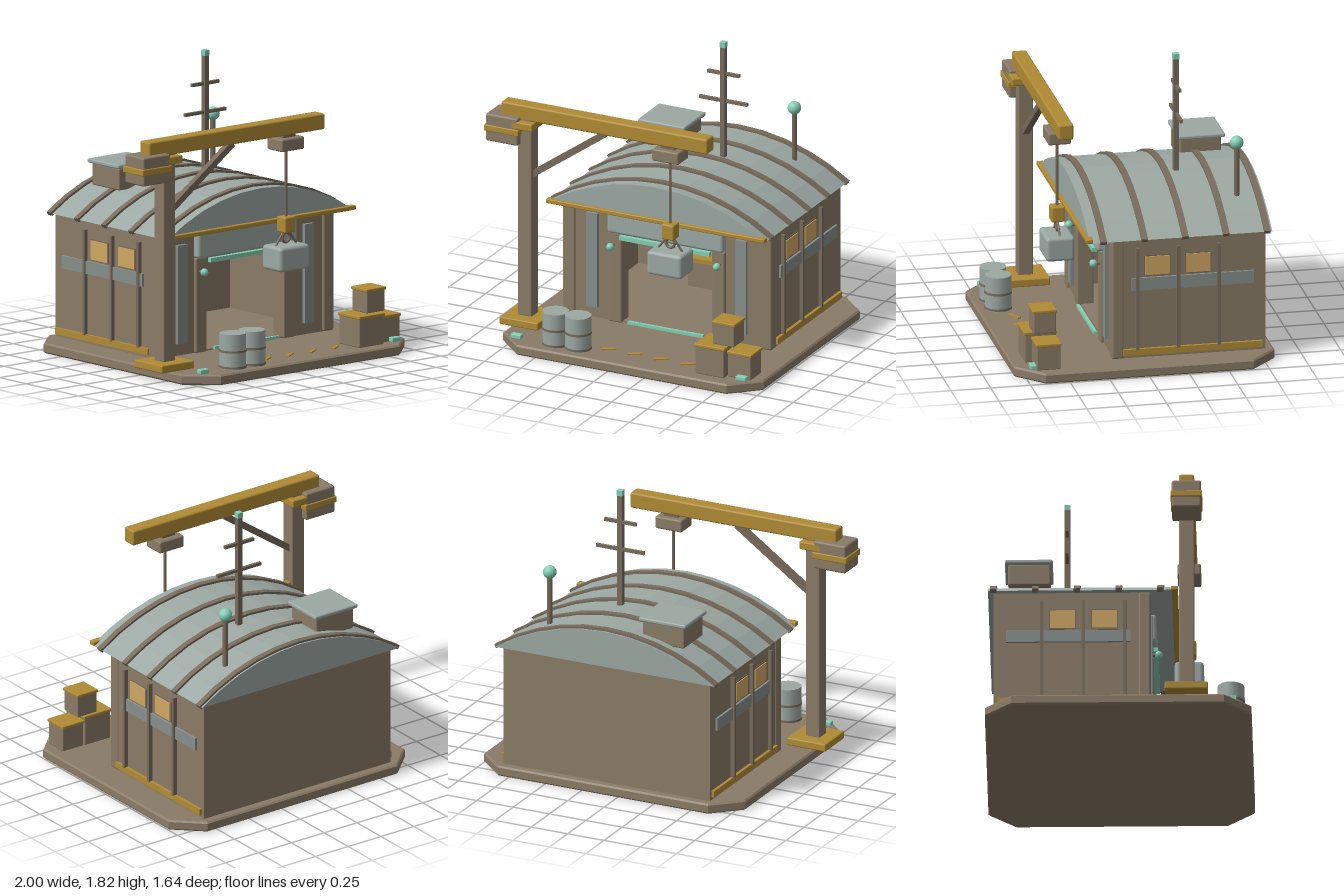
import * as THREE from 'three';
import { RoundedBoxGeometry } from 'three/addons/geometries/RoundedBoxGeometry.js';

export function createModel() {
  const root = new THREE.Group();
  const mat = (name, color) => {
    const m = new THREE.MeshStandardMaterial({ color });
    m.name = name;
    return m;
  };
  const brown = mat('warm brown', 0x8a7b67);
  const dark = mat('dark brown', 0x786b5c);
  const pale = mat('pale grey green', 0x9ca8a3);
  const steel = mat('steel grey', 0x868f8b);
  const gold = mat('ochre gold', 0xb08b34);
  const mint = mat('mint light', 0x84cfb5);
  const amber = mat('amber glass', 0xcfa662);

  const add = (name, geo, m, x = 0, y = 0, z = 0, parent = root) => {
    const mesh = new THREE.Mesh(geo, m);
    mesh.name = name;
    mesh.position.set(x, y, z);
    parent.add(mesh);
    return mesh;
  };
  // Box given by its limits; r > 0 softens the edges
  const box = (name, m, x0, x1, y0, y1, z0, z1, r = 0, parent = root) => {
    const s = [x1 - x0, y1 - y0, z1 - z0];
    const geo = r ? new RoundedBoxGeometry(...s, 2, r) : new THREE.BoxGeometry(...s);
    return add(name, geo, m, (x0 + x1) / 2, (y0 + y1) / 2, (z0 + z1) / 2, parent);
  };
  const rod = (name, m, a, b, r, sides = 8, parent = root) => {
    const p = new THREE.Vector3(...a), q = new THREE.Vector3(...b);
    const mesh = add(name, new THREE.CylinderGeometry(r, r, p.distanceTo(q), sides), m, 0, 0, 0, parent);
    mesh.position.copy(p).lerp(q, 0.5);
    mesh.quaternion.setFromUnitVectors(new THREE.Vector3(0, 1, 0), q.sub(p).normalize());
    return mesh;
  };
  const group = (name) => {
    const g = new THREE.Group();
    g.name = name;
    root.add(g);
    return g;
  };
  const CX = 0.1; // centre line of the building

  // Ground slab with cut corners
  const slab = new THREE.Shape([[-0.79, -0.65], [-0.62, -0.81], [0.82, -0.81], [0.99, -0.65],
    [0.99, 0.65], [0.82, 0.81], [-0.62, 0.81], [-0.79, 0.65]].map(p => new THREE.Vector2(...p)));
  const slabGeo = new THREE.ExtrudeGeometry(slab, { depth: 0.045, bevelEnabled: true, bevelSize: 0.01, bevelThickness: 0.01, bevelSegments: 1 });
  slabGeo.rotateX(-Math.PI / 2).translate(0, 0.01, 0);
  add('groundSlab', slabGeo, brown);

  // Hollow building shell, open at the door
  const hall = group('hall');
  box('backWall', brown, -0.61, 0.81, 0.065, 0.84, -0.765, -0.715, 0, hall);
  box('ceiling', brown, -0.58, 0.78, 0.81, 0.84, -0.73, 0.16, 0, hall);
  box('overDoorWall', brown, -0.25, 0.45, 0.65, 0.84, 0.12, 0.18, 0, hall);
  box('floor', brown, -0.58, 0.78, 0.065, 0.073, -0.73, 0.18, 0, hall);
  box('doorHeader', pale, -0.3, 0.5, 0.658, 0.84, 0.15, 0.23, 0.02, hall);
  box('headerLight', mint, -0.21, 0.41, 0.628, 0.655, 0.21, 0.24, 0, hall);
  box('thresholdLight', mint, -0.16, 0.36, 0.073, 0.092, 0.2, 0.22, 0, hall);
  for (const s of [-1, 1]) {
    const px = (a, b) => [Math.min(CX + s * a, CX + s * b), Math.max(CX + s * a, CX + s * b)];
    box('sideWall', brown, ...px(0.66, 0.71), 0.065, 0.84, -0.765, 0.18, 0, hall);
    box('frontPanel', brown, ...px(0.36, 0.66), 0.065, 0.84, 0.12, 0.185, 0, hall);
    box('cornerPillar', brown, ...px(0.635, 0.72), 0.065, 0.84, 0.125, 0.2, 0.012, hall);
    box('doorPost', brown, ...px(0.31, 0.4), 0.065, 0.66, 0.1, 0.205, 0.01, hall);
    box('frontStrip', steel, ...px(0.475, 0.55), 0.14, 0.76, 0.18, 0.21, 0, hall);
    add('doorLamp', new THREE.SphereGeometry(0.025, 12, 8), mint, CX + s * 0.367, 0.575, 0.245, hall);
    rod('lampBracket', dark, [CX + s * 0.367, 0.575, 0.2], [CX + s * 0.367, 0.575, 0.24], 0.01, 8, hall);
    // Flank fittings
    box('flankBand', steel, ...px(0.7, 0.725), 0.505, 0.585, -0.69, 0.075, 0, hall);
    box('flankKick', gold, ...px(0.7, 0.73), 0.085, 0.125, -0.745, 0.13, 0, hall);
    for (const z of [0.04, -0.215, -0.47])
      box('flankRib', dark, ...px(0.7, 0.735), 0.12, 0.78, z - 0.01, z + 0.01, 0, hall);
    for (const z of [-0.085, -0.342]) {
      box('windowFrame', dark, ...px(0.7, 0.714), 0.592, 0.728, z - 0.084, z + 0.084, 0, hall);
      box('windowPane', amber, ...px(0.713, 0.72), 0.6, 0.72, z - 0.077, z + 0.077, 0, hall);
    }
  }

  // Workbench and wall rack inside
  const bench = group('workbench');
  box('benchBody', brown, -0.12, 0.33, 0.073, 0.245, -0.68, -0.52, 0, bench);
  box('benchTop', gold, -0.14, 0.34, 0.243, 0.27, -0.7, -0.5, 0, bench);
  box('rackShelf', dark, -0.17, 0.37, 0.505, 0.575, -0.715, -0.66, 0, bench);
  for (const x of [-0.085, 0.045, 0.2, 0.32])
    box('rackUpright', dark, x - 0.01, x + 0.01, 0.26, 0.6, -0.66, -0.64, 0, bench);

  // Barrel roof: arc of facets, closed by gables
  const R = 1.338, CY = 0.84 - 1.108, HALF = Math.asin(0.75 / R), N = 10;
  const arc = (r, half) => Array.from({ length: N + 1 }, (_, i) => {
    const t = half * (1 - 2 * i / N);
    return new THREE.Vector2(CX + r * Math.sin(t), CY + r * Math.cos(t));
  });
  const sweep = (pts, z0, z1) => new THREE.ExtrudeGeometry(new THREE.Shape(pts), { depth: z1 - z0, bevelEnabled: false }).translate(0, 0, z0);
  const roof = group('roof');
  add('roofVault', sweep(arc(R, HALF), -0.8, 0.345), pale, 0, 0, 0, roof);
  for (const z of [0.26, 0.003, -0.253, -0.51, -0.768])
    add('roofRib', sweep([...arc(R + 0.014, HALF + 0.004), ...arc(R - 0.012, HALF + 0.004).reverse()], z - 0.02, z + 0.02), dark, 0, 0, 0, roof);
  box('eaveTrim', gold, -0.65, 0.855, 0.84, 0.868, 0.325, 0.368, 0.006, roof);

  // Roof vent, mast and beacon
  box('ventBox', brown, -0.39, -0.105, 1.0, 1.14, -0.68, -0.42, 0.01, roof);
  box('ventLid', pale, -0.41, -0.085, 1.138, 1.165, -0.7, -0.405, 0.01, roof);
  const mast = group('mast');
  box('mastPole', dark, 0.208, 0.242, 1.05, 1.79, -0.342, -0.308, 0, mast);
  box('mastTip', mint, 0.206, 0.244, 1.785, 1.82, -0.344, -0.306, 0, mast);
  box('upperCrossbar', dark, 0.115, 0.335, 1.6, 1.62, -0.336, -0.316, 0, mast);
  box('lowerCrossbar', dark, 0.06, 0.39, 1.42, 1.44, -0.336, -0.316, 0, mast);
  rod('beaconPole', dark, [0.555, 0.97, -0.638], [0.555, 1.31, -0.638], 0.017, 8, mast);
  add('beaconBall', new THREE.SphereGeometry(0.042, 16, 12), mint, 0.555, 1.33, -0.638, mast);

  // Crane
  const crane = group('crane'), Z = 0.425;
  box('craneFoot', gold, -0.875, -0.61, 0.065, 0.115, 0.29, 0.555, 0.008, crane);
  box('cranePost', brown, -0.79, -0.695, 0.11, 1.42, Z - 0.047, Z + 0.047, 0.008, crane);
  box('craneCollar', gold, -0.82, -0.67, 1.355, 1.405, Z - 0.09, Z + 0.09, 0.008, crane);
  box('craneBeam', gold, -0.905, 0.515, 1.405, 1.505, Z - 0.047, Z + 0.047, 0.012, crane);
  box('counterweight', brown, -0.99, -0.77, 1.245, 1.425, Z - 0.09, Z + 0.09, 0.012, crane);
  box('counterweightBand', gold, -1, -0.762, 1.312, 1.353, Z - 0.097, Z + 0.097, 0.006, crane);
  const brace = box('craneBrace', dark, -0.31, 0.31, -0.02, 0.02, -0.02, 0.02, 0, crane);
  brace.position.set(-0.455, 1.225, Z);
  brace.rotation.z = Math.atan2(0.355, 0.5);
  box('trolley', brown, 0.145, 0.33, 1.31, 1.39, Z - 0.072, Z + 0.072, 0.012, crane);
  box('trolleyHanger', dark, 0.19, 0.285, 1.38, 1.41, Z - 0.035, Z + 0.035, 0, crane);
  rod('cable', dark, [0.238, 0.88, Z], [0.238, 1.32, Z], 0.009, 8, crane);
  box('hookBlock', gold, 0.197, 0.281, 0.79, 0.89, Z - 0.042, Z + 0.042, 0.01, crane);
  add('hookRing', new THREE.TorusGeometry(0.03, 0.009, 8, 18), dark, 0.238, 0.757, Z, crane);
  for (const s of [-1, 1])
    rod('sling', dark, [0.238 + s * 0.025, 0.79, Z], [0.238 + s * 0.085, 0.71, Z], 0.007, 6, crane);
  box('hangingLoad', pale, 0.118, 0.358, 0.56, 0.715, Z - 0.09, Z + 0.09, 0.022, crane);

  // Barrels
  for (const x of [-0.418, -0.262]) {
    const barrel = group('barrel');
    barrel.position.set(x, 0.065, 0.69);
    add('barrelBody', new THREE.CylinderGeometry(0.083, 0.083, 0.22, 14), pale, 0, 0.11, 0, barrel);
    for (const y of [0.012, 0.112])
      add('barrelHoop', new THREE.CylinderGeometry(0.087, 0.087, 0.014, 14), dark, 0, y, 0, barrel);
  }

  // Crates with lids
  const crate = (x0, x1, y0, y1, z0, z1) => {
    const g = group('crate');
    box('crateBody', brown, x0 + 0.006, x1 - 0.006, y0, y1 - 0.01, z0 + 0.006, z1 - 0.006, 0.006, g);
    box('crateLid', gold, x0, x1, y1 - 0.02, y1, z0, z1, 0.005, g);
  };
  crate(0.562, 0.77, 0.065, 0.263, 0.535, 0.742);
  crate(0.765, 0.934, 0.065, 0.235, 0.54, 0.7);
  crate(0.66, 0.818, 0.262, 0.415, 0.545, 0.697);

  // Yard markings and corner lamps
  for (const x of [-0.085, 0.097, 0.28, 0.463])
    add('yardMark', new THREE.BoxGeometry(0.095, 0.009, 0.024), gold, x, 0.0685, 0.625).rotation.y = 0.55;
  box('cornerLamp', mint, -0.71, -0.64, 0.065, 0.093, 0.69, 0.73, 0.005);
  box('cornerLamp', mint, 0.84, 0.91, 0.065, 0.093, 0.69, 0.73, 0.005);

  return root;
}
